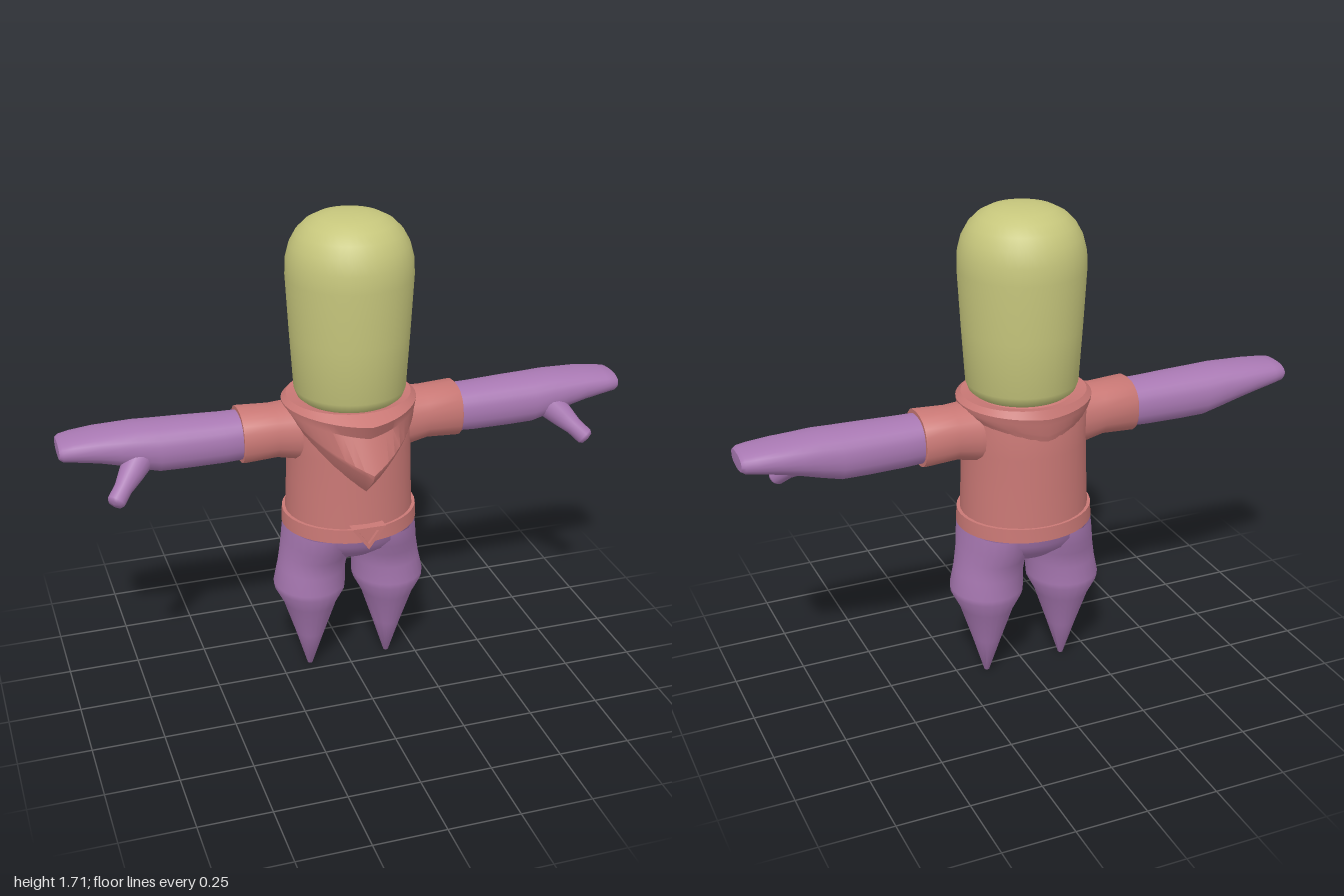
import * as THREE from 'three';
import { toCreasedNormals } from 'three/addons/utils/BufferGeometryUtils.js';

const mat = (color) => new THREE.MeshStandardMaterial({ color, side: THREE.DoubleSide });
const YELLOW = mat(0xc6c67c), RED = mat(0xc97875), PURPLE = mat(0xa878b2);
const BODY_Z = -0.035;

// Closed-loop surface: rows stacked upward, columns turning from +z towards +x
function skin(rows, cols, point, crease = 0.75) {
  const pos = [], index = [];
  for (let i = 0; i < rows; i++)
    for (let j = 0; j < cols; j++) pos.push(...point(i, (j / cols) * Math.PI * 2));
  for (let i = 0; i < rows - 1; i++)
    for (let j = 0; j < cols; j++) {
      const a = i * cols + j, b = i * cols + ((j + 1) % cols), c = a + cols, d = b + cols;
      index.push(a, b, c, b, d, c);
    }
  const g = new THREE.BufferGeometry();
  g.setAttribute('position', new THREE.Float32BufferAttribute(pos, 3));
  g.setIndex(index);
  return toCreasedNormals(g, crease);
}

const power = (v, e) => Math.sign(v) * Math.pow(Math.abs(v), e);

// Vertical loft, ring = [y, centreX, centreZ, radiusX, radiusZ]
const loftY = (rings, cols = 32, e = 1) => skin(rings.length, cols, (i, t) => {
  const [y, cx, cz, rx, rz] = rings[i];
  return [cx + rx * power(Math.sin(t), e), y, cz + rz * power(Math.cos(t), e)];
});

// Sideways loft, ring = [x, centreY, centreZ, radiusY, radiusZ], mirrored by side
function loftX(rings, side, cols = 24, e = 1) {
  const r = side > 0 ? rings : [...rings].reverse();
  return skin(r.length, cols, (i, t) => {
    const [x, cy, cz, ry, rz] = r[i];
    return [side * x, cy + ry * power(Math.cos(t), e), cz + rz * power(Math.sin(t), e)];
  });
}

export function createModel() {
  const model = new THREE.Group();
  const add = (name, geometry, material) => {
    const m = new THREE.Mesh(geometry, material);
    m.name = name;
    model.add(m);
    return m;
  };

  // Tall domed head
  const head = [[1.065, 0], [1.07, 0.165], [1.085, 0.183], [1.11, 0.192], [1.3, 0.204], [1.5, 0.215],
    [1.56, 0.213], [1.61, 0.2], [1.65, 0.178], [1.68, 0.148], [1.7, 0.11], [1.71, 0.06], [1.712, 0]];
  add('head', loftY(head.map(([y, r]) => [y, 0, -0.02, r, r]), 40), YELLOW);

  // Shirt body
  add('shirt', loftY([[0.61, 0, BODY_Z, 0.226, 0.207], [0.66, 0, BODY_Z, 0.225, 0.206],
    [0.78, 0, BODY_Z, 0.22, 0.203], [0.9, 0, BODY_Z, 0.217, 0.203], [1.0, 0, BODY_Z, 0.22, 0.2],
    [1.05, 0, BODY_Z, 0.212, 0.19], [1.07, 0, BODY_Z, 0.17, 0.16], [1.07, 0, BODY_Z, 0, 0]]), RED);

  // Neckerchief: pointed fold at the front, short drape behind
  add('neckerchief', skin(7, 48, (i, t) => {
    const s = Math.abs(Math.sin(t)), c = Math.cos(t);
    const f = c > 0 ? Math.pow(1 - s, 0.8) : 0;      // strength of the front point
    const b = c < 0 ? 1 - s : 0;                     // strength of the back drape
    const [y, rx, rz] = [
      [1.0 - 0.22 * f - 0.06 * b, 0.205, 0.195],
      [1.03 - 0.165 * f - 0.055 * b, 0.222, 0.205 + 0.078 * f],
      [1.035 - 0.15 * f - 0.05 * b, 0.226, 0.208 + 0.08 * f],
      [1.045 - 0.045 * f - 0.02 * b, 0.231, 0.213 + 0.027 * f],
      [1.062 - 0.012 * f - 0.015 * b, 0.233, 0.218 + 0.045 * f],
      [1.078, 0.215, 0.205],
      [1.07, 0.165, 0.165],
    ][i];
    return [rx * Math.sin(t), y, BODY_Z + rz * c];
  }, 0.6), RED);

  // Belt band with a thickness
  add('belt', loftY([[0.6, 0, BODY_Z, 0.2, 0.18], [0.6, 0, BODY_Z, 0.24, 0.217],
    [0.65, 0, BODY_Z, 0.237, 0.215], [0.65, 0, BODY_Z, 0.21, 0.19]], 40), RED);

  // Triangular buckle: frame and inset
  const triangle = (r, Kind = THREE.Shape) => new Kind([
    new THREE.Vector2(-r, r * 0.55), new THREE.Vector2(0, -r * 0.85), new THREE.Vector2(r, r * 0.55)]);
  const frame = triangle(0.06);
  frame.holes.push(triangle(0.036, THREE.Path));
  const extrude = (shape, depth) => new THREE.ExtrudeGeometry(shape, { depth, bevelEnabled: false });
  add('buckleFrame', extrude(frame, 0.045), RED).position.set(0, 0.632, 0.156);
  add('buckleInset', extrude(triangle(0.037), 0.032), RED).position.set(0, 0.632, 0.156);

  // Hips joining the two legs
  add('hips', loftY([[0.45, 0, -0.04, 0, 0], [0.455, 0, -0.04, 0.05, 0.05], [0.48, 0, -0.04, 0.12, 0.1],
    [0.53, 0, -0.038, 0.2, 0.165], [0.57, 0, BODY_Z, 0.228, 0.195], [0.62, 0, BODY_Z, 0.228, 0.205]]), PURPLE);

  for (const side of [1, -1]) {
    const prefix = side > 0 ? 'left' : 'right';

    // Leg with a baggy knee, tapering to a point
    add(prefix + 'Leg', loftY([[0, 0.147, -0.04, 0, 0], [0.006, 0.147, -0.04, 0.009, 0.009],
      [0.15, 0.146, -0.04, 0.053, 0.06], [0.28, 0.146, -0.04, 0.095, 0.108],
      [0.34, 0.146, -0.04, 0.126, 0.137], [0.36, 0.146, -0.04, 0.128, 0.138],
      [0.43, 0.138, -0.04, 0.12, 0.138], [0.49, 0.128, -0.04, 0.12, 0.148],
      [0.54, 0.118, -0.037, 0.122, 0.175], [0.6, 0.112, BODY_Z, 0.12, 0.185]]
      .map(([y, x, ...rest]) => [y, side * x, ...rest]), 24), PURPLE);

    // Short open sleeve
    add(prefix + 'Sleeve', loftX([[0.12, 0.955, -0.04, 0.1, 0.11], [0.2, 0.96, -0.04, 0.1, 0.105],
      [0.27, 0.965, -0.04, 0.09, 0.097], [0.385, 0.965, -0.04, 0.096, 0.102],
      [0.39, 0.965, -0.04, 0.094, 0.1], [0.39, 0.965, -0.04, 0.078, 0.082], [0.35, 0.965, -0.04, 0.078, 0.082]],
      side, 20, 0.85), RED);

    // Arm flattening into a mitten hand
    add(prefix + 'Arm', loftX([[0.34, 0.965, -0.04, 0.08, 0.087], [0.45, 0.963, -0.04, 0.083, 0.09],
      [0.58, 0.965, -0.042, 0.085, 0.095], [0.67, 0.967, -0.043, 0.085, 0.097],
      [0.74, 0.978, -0.044, 0.076, 0.096], [0.8, 0.986, -0.046, 0.065, 0.094],
      [0.87, 0.994, -0.047, 0.054, 0.091], [0.95, 0.998, -0.045, 0.042, 0.083],
      [0.985, 0.998, -0.043, 0.036, 0.076], [0.997, 0.998, -0.043, 0.028, 0.066],
      [1.0, 0.998, -0.043, 0, 0]], side, 24, 0.85), PURPLE);

    // Thumb pointing forward and down
    const from = new THREE.Vector3(side * 0.735, 0.95, 0.005), to = new THREE.Vector3(side * 0.845, 0.84, 0.113);
    const direction = to.clone().sub(from), length = direction.length();
    const profile = [[0.052, 0], [0.042, 0.35], [0.031, 0.65], [0.031, 0.92], [0.023, 0.98], [0, 1]];
    const thumb = add(prefix + 'Thumb', new THREE.LatheGeometry(
      profile.map(([r, h]) => new THREE.Vector2(r, h * length)), 16), PURPLE);
    thumb.position.copy(from);
    thumb.quaternion.setFromUnitVectors(new THREE.Vector3(0, 1, 0), direction.normalize());
  }
  return model;
}
